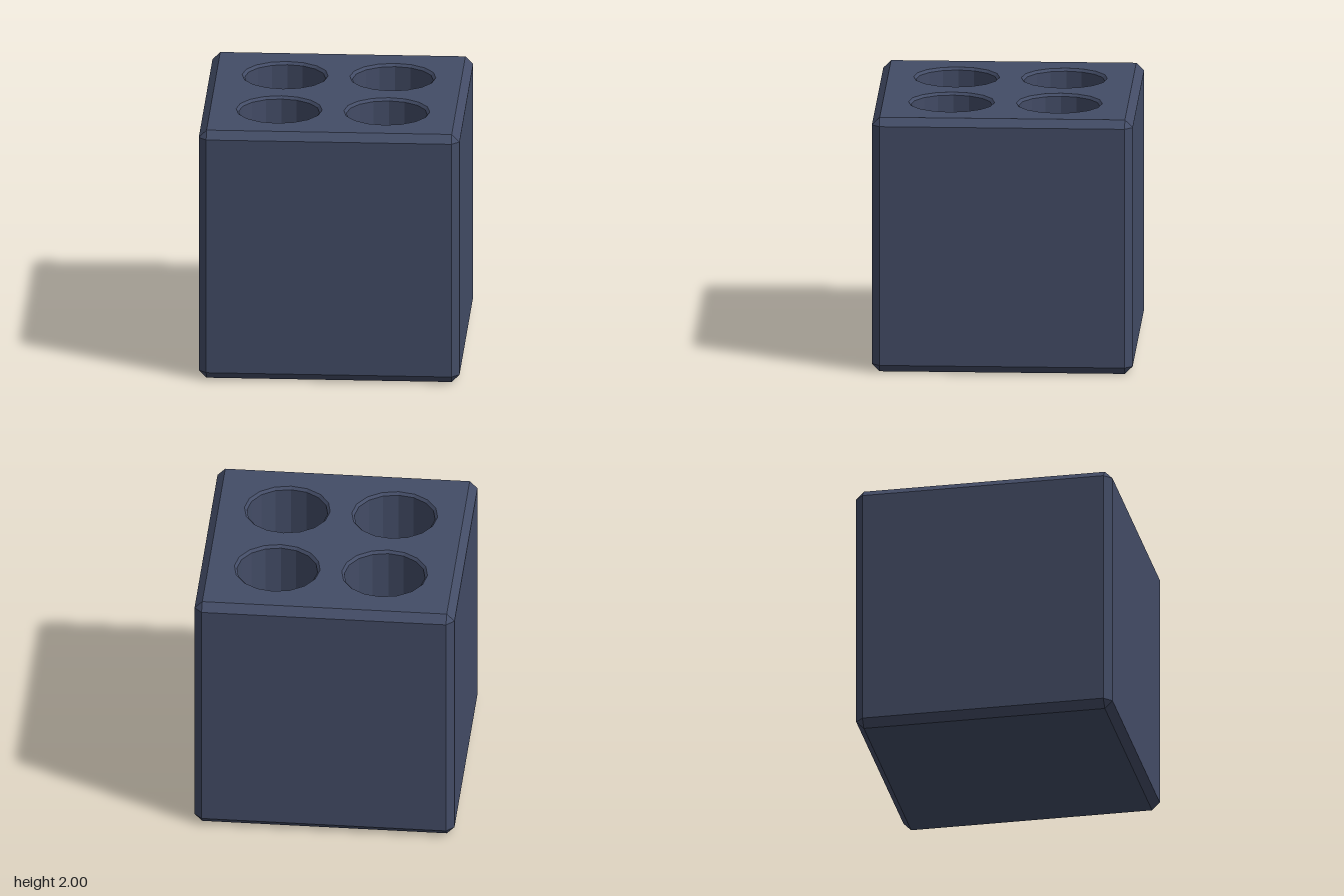
import * as THREE from 'three';
import { ConvexGeometry } from 'three/addons/geometries/ConvexGeometry.js';

const HALF = 1, FLAT = 0.94; // half size, and half size of each flat face
const CENTRE = 0.413, RIM = 0.33, BORE = 0.31, SIDES = 16, FLOOR = 0.9;

// Chamfered cube with its top face left out
function openBlock() {
  const points = [];
  for (const x of [-1, 1]) for (const y of [-1, 1]) for (const z of [-1, 1]) {
    for (let axis = 0; axis < 3; axis++) {
      const p = new THREE.Vector3(x, y, z).multiplyScalar(FLAT);
      p.setComponent(axis, Math.sign(p.getComponent(axis)) * HALF);
      p.y += HALF;
      points.push(p);
    }
  }
  const hull = new ConvexGeometry(points);
  const pos = hull.attributes.position;
  const kept = [];
  for (let i = 0; i < pos.count; i += 3) {
    if (pos.getY(i) + pos.getY(i + 1) + pos.getY(i + 2) > 6 * HALF - 1e-4) continue;
    for (let k = i; k < i + 3; k++) kept.push(pos.getX(k), pos.getY(k), pos.getZ(k));
  }
  const geometry = new THREE.BufferGeometry();
  geometry.setAttribute('position', new THREE.Float32BufferAttribute(kept, 3));
  geometry.computeVertexNormals();
  return geometry;
}

export function createModel() {
  const group = new THREE.Group();
  group.name = 'holderBlock';
  const material = new THREE.MeshStandardMaterial({ color: 0x434c66, flatShading: true });
  const add = (name, geometry) => {
    const mesh = new THREE.Mesh(geometry, material);
    mesh.name = name;
    group.add(mesh);
    return mesh;
  };

  add('body', openBlock());

  // Top face with four round openings, each continued by a pocket
  const top = new THREE.Shape([[-1, -1], [1, -1], [1, 1], [-1, 1]]
    .map(([x, y]) => new THREE.Vector2(x * FLAT, y * FLAT)));
  const profile = [[RIM, 2], [BORE, 1.98], [BORE, FLOOR], [0, FLOOR]]
    .map(([r, y]) => new THREE.Vector2(r, y));

  for (const x of [-CENTRE, CENTRE]) for (const z of [-CENTRE, CENTRE]) {
    const ring = [];
    for (let i = 0; i < SIDES; i++) {
      const a = -i / SIDES * Math.PI * 2;
      ring.push(new THREE.Vector2(x + RIM * Math.cos(a), -z + RIM * Math.sin(a)));
    }
    top.holes.push(new THREE.Path(ring));
    add('pocket', new THREE.LatheGeometry(profile, SIDES)).position.set(x, 0, z);
  }

  add('topFace', new THREE.ShapeGeometry(top).rotateX(-Math.PI / 2).translate(0, 2 * HALF, 0));
  return group;
}
